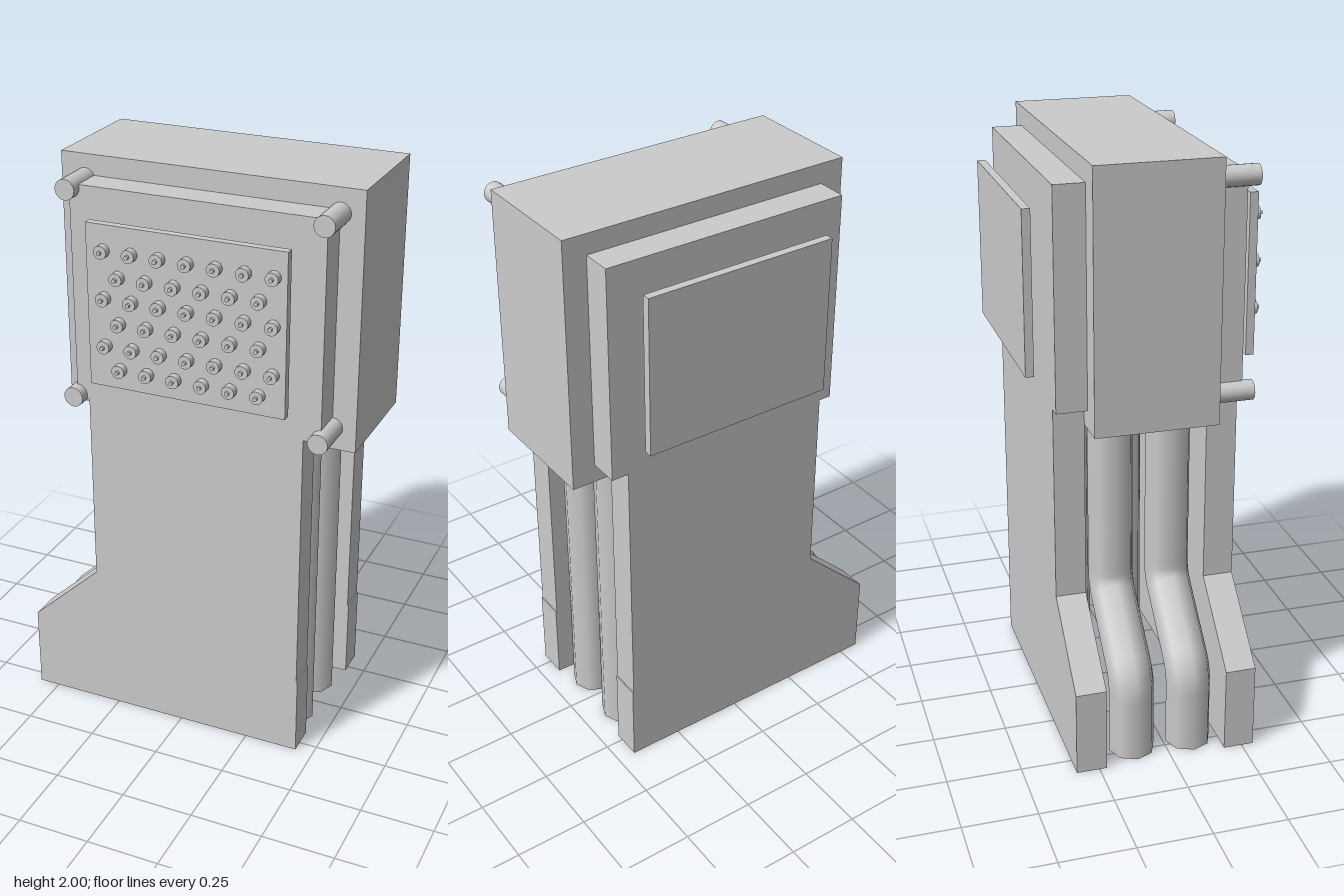
import * as THREE from 'three';

const grey = new THREE.MeshStandardMaterial({ color: 0xcccccc });
const greyOpen = new THREE.MeshStandardMaterial({ color: 0xcccccc, side: THREE.DoubleSide });

export function createModel() {
  const model = new THREE.Group();

  const add = (name, geometry, material = grey) => {
    const mesh = new THREE.Mesh(geometry, material);
    mesh.name = name;
    model.add(mesh);
    return mesh;
  };
  // Box given by its limits on each axis
  const box = (name, x0, x1, y0, y1, z0, z1) =>
    add(name, new THREE.BoxGeometry(x1 - x0, y1 - y0, z1 - z0))
      .position.set((x0 + x1) / 2, (y0 + y1) / 2, (z0 + z1) / 2);
  // Cylinder along z
  const pin = (name, x, y, z0, z1, radius, sides = 16) =>
    add(name, new THREE.CylinderGeometry(radius, radius, z1 - z0, sides).rotateX(Math.PI / 2))
      .position.set(x, y, (z0 + z1) / 2);

  // Main housing
  box('housing', -0.447, 0.572, 1.137, 2, -0.225, 0.188);

  // Boot-shaped panels on the front and back of the housing
  const outline = new THREE.Shape([
    [-0.573, 0], [0.437, 0], [0.437, 0.285], [0.433, 0.285], [0.433, 1.2], [0.492, 1.2],
    [0.492, 1.932], [-0.366, 1.932], [-0.366, 1.2], [-0.323, 1.2], [-0.323, 0.53], [-0.573, 0.295],
  ].map(([x, y]) => new THREE.Vector2(x, y)));
  for (const [name, z] of [['frontPanel', 0.188], ['backPanel', -0.328]]) {
    add(name, new THREE.ExtrudeGeometry(outline, { depth: 0.103, bevelEnabled: false })).position.z = z;
  }

  // Open pipes between the panels: one pair straight, one pair following the bent edge
  const v = (x, y) => new THREE.Vector3(x, y, 0);
  const bent = new THREE.CurvePath();
  bent.add(new THREE.LineCurve3(v(-0.477, 0), v(-0.477, 0.22)));
  bent.add(new THREE.QuadraticBezierCurve3(v(-0.477, 0.22), v(-0.477, 0.27), v(-0.44, 0.305)));
  bent.add(new THREE.LineCurve3(v(-0.44, 0.305), v(-0.26, 0.475)));
  bent.add(new THREE.QuadraticBezierCurve3(v(-0.26, 0.475), v(-0.223, 0.51), v(-0.223, 0.56)));
  bent.add(new THREE.LineCurve3(v(-0.223, 0.56), v(-0.223, 1.16)));
  const straight = new THREE.LineCurve3(v(0.345, 0), v(0.345, 1.16));
  for (const z of [0.087, -0.112]) {
    add('bentPipe', new THREE.TubeGeometry(bent, 60, 0.078, 8), greyOpen).position.z = z;
    add('straightPipe', new THREE.TubeGeometry(straight, 1, 0.078, 8), greyOpen).position.z = z;
  }

  // Corner posts
  for (const x of [-0.364, 0.493])
    for (const y of [1.92, 1.213]) pin('cornerPost', x, y, 0.188, 0.325, 0.034, 24);

  // Front board on standoffs, and the rear board
  box('frontBoard', -0.274, 0.398, 1.297, 1.841, 0.335, 0.363);
  box('rearBoard', -0.274, 0.398, 1.297, 1.841, -0.402, -0.374);
  for (const x of [-0.207, 0.329])
    for (const y of [1.752, 1.343]) pin('standoff', x, y, 0.29, 0.336, 0.022);

  // Staggered rows of buttons
  [1.757, 1.675, 1.6, 1.521, 1.44, 1.364].forEach((y, row) => {
    const odd = row % 2;
    for (let i = 0; i < 7 - odd; i++) {
      const x = (odd ? -0.164 : -0.214) + i * 0.095;
      pin('button', x, y, 0.362, 0.388, 0.022);
      pin('buttonTip', x, y, 0.388, 0.398, 0.007, 10);
    }
  });

  return model;
}
